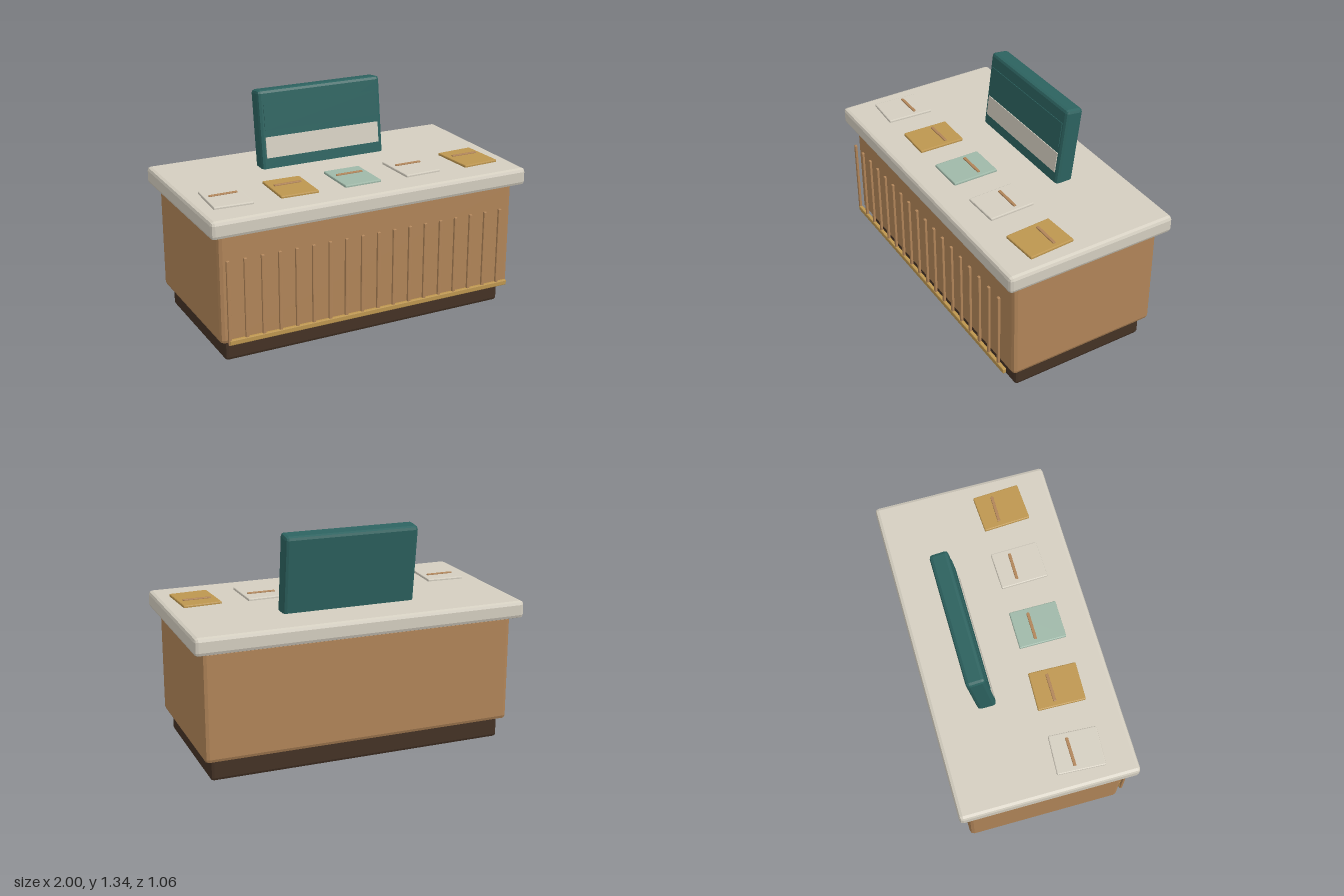
import * as THREE from 'three';
import { RoundedBoxGeometry } from 'three/addons/geometries/RoundedBoxGeometry.js';

const paint = (name, color, flatShading = true) => {
  const m = new THREE.MeshStandardMaterial({ color, flatShading });
  m.name = name;
  return m;
};

export function createModel() {
  const wood = paint('wood', 0xb08458);
  const darkWood = paint('dark wood', 0x443225);
  const cream = paint('cream', 0xd4cec0);
  const teal = paint('teal', 0x2c625f);
  const brass = paint('brass', 0xbd964f);
  const mint = paint('mint', 0x9fb8a8);

  const model = new THREE.Group();
  model.name = 'counter';

  // Box with a single-facet chamfer, placed by its centre
  const block = (name, mat, [w, h, d], [x, y, z], bevel, parent = model) => {
    const geo = bevel ? new RoundedBoxGeometry(w, h, d, 1, bevel) : new THREE.BoxGeometry(w, h, d);
    const mesh = new THREE.Mesh(geo, mat);
    mesh.name = name;
    mesh.position.set(x, y, z);
    parent.add(mesh);
    return mesh;
  };

  // Plinth, cabinet and overhanging worktop
  block('plinth', darkWood, [1.81, 0.15, 0.86], [0, 0.075, 0], 0.02);
  block('cabinet', wood, [1.89, 0.66, 0.94], [0, 0.455, 0], 0.025);
  block('worktop', cream, [2, 0.105, 1.06], [0, 0.8275, 0], 0.022);

  // Slats standing just off the front, with a brass rail along their feet
  for (let i = 0; i < 18; i++) {
    block('slat', wood, [0.02, 0.505, 0.016], [-0.906 + i * 0.1028, 0.3875, 0.505], 0.004);
  }
  block('footRail', brass, [1.82, 0.032, 0.022], [0, 0.152, 0.505], 0.005);

  // Leaning sign board with two thin front panels
  const sign = new THREE.Group();
  sign.name = 'sign';
  sign.position.set(0, 0.87, -0.205);
  sign.rotation.x = -0.127;
  model.add(sign);
  block('signBoard', teal, [0.81, 0.49, 0.11], [0, 0.228, 0], 0.02, sign);
  block('upperPanel', teal, [0.75, 0.152, 0.006], [0, 0.31, 0.056], 0, sign);
  block('lowerPanel', cream, [0.75, 0.126, 0.008], [0, 0.13, 0.056], 0, sign);

  // Row of small trays, slightly turned, each with a wooden handle
  [cream, brass, mint, cream, brass].forEach((mat, i) => {
    const x = (i - 2) * 0.395;
    const tray = block('tray', mat, [0.232, 0.024, 0.284], [x, 0.882, 0.212], 0.006);
    tray.rotation.y = (i - 2) * 0.028;
    block('trayHandle', wood, [0.17, 0.014, 0.018], [x, 0.894, 0.175], 0.003);
  });

  return model;
}
